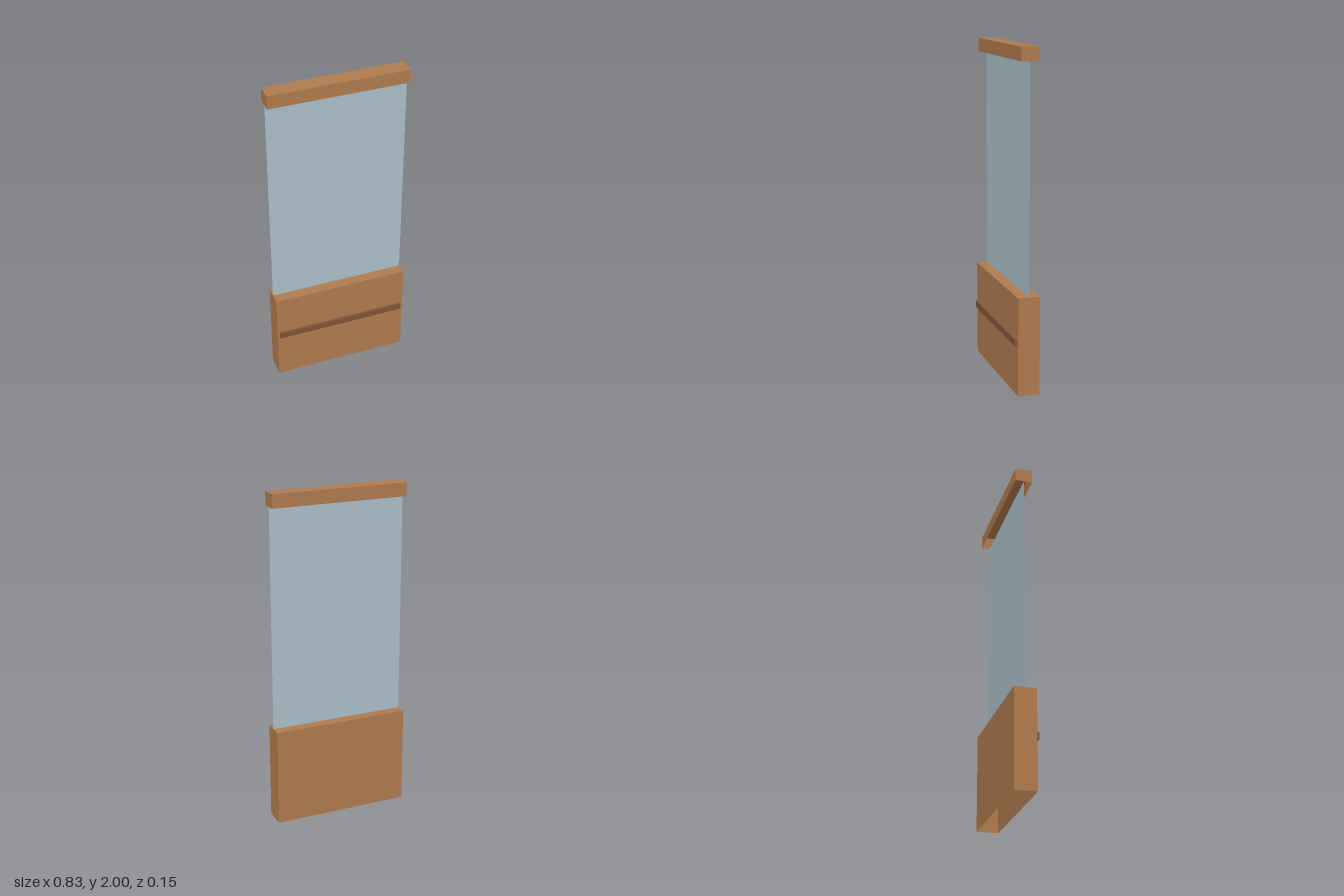
import * as THREE from 'three';

const material = (name, color) => {
  const m = new THREE.MeshStandardMaterial({ color, side: THREE.DoubleSide });
  m.name = name;
  return m;
};

// Box given by its limits; an open box has no underside
function box(name, mat, [x0, x1], [y0, y1], [z0, z1], open = false) {
  const geo = new THREE.BoxGeometry(x1 - x0, y1 - y0, z1 - z0);
  if (open) {
    // each side has 6 indices, in the order +x, -x, +y, -y, +z, -z
    const index = Array.from(geo.index.array);
    index.splice(18, 6);
    geo.setIndex(index);
    geo.clearGroups();
  }
  const mesh = new THREE.Mesh(geo, mat);
  mesh.name = name;
  mesh.position.set((x0 + x1) / 2, (y0 + y1) / 2, (z0 + z1) / 2);
  return mesh;
}

export function createModel() {
  const group = new THREE.Group();
  group.name = 'glazedPartition';

  const wood = material('wood', 0xb07b4e);
  const darkWood = material('dark wood', 0x80553a);
  const glass = material('glass', 0xacbfc9);

  const width = [-0.415, 0.415];
  const baseTop = 0.588, railBottom = 1.92, midZ = -0.0075;

  // Hollow base and top rail, both open below
  group.add(box('base', wood, width, [0, baseTop], [-0.073, 0.058], true));
  group.add(box('topRail', wood, width, [railBottom, 2], [-0.058, 0.043], true));

  // Slim ledge along the front of the base
  group.add(box('frontLedge', darkWood, [-0.4, 0.4], [0.3, 0.34], [0.058, 0.073]));

  // Single sheet of glass between base and rail
  const pane = new THREE.Mesh(new THREE.PlaneGeometry(0.83, railBottom - baseTop), glass);
  pane.name = 'glassPane';
  pane.position.set(0, (baseTop + railBottom) / 2, midZ);
  group.add(pane);

  return group;
}
